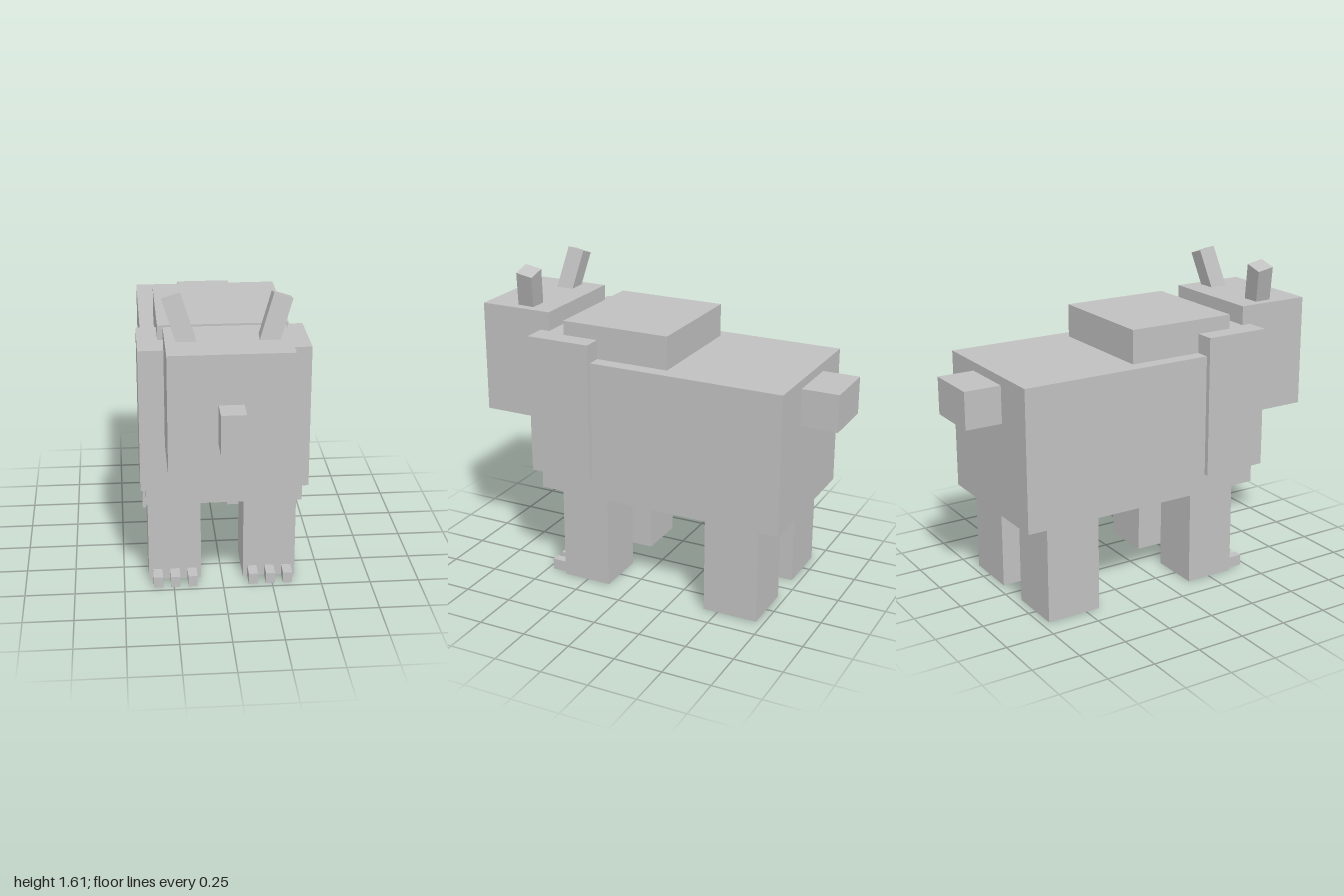
import * as THREE from 'three';

export function createModel() {
  const model = new THREE.Group();
  model.name = 'blockyBear';
  const fur = new THREE.MeshStandardMaterial({ color: 0xc0c0c0 });
  fur.name = 'greyFur';

  // Box given by its min and max on each axis
  function block(name, [x0, x1], [y0, y1], [z0, z1], parent = model) {
    const mesh = new THREE.Mesh(new THREE.BoxGeometry(x1 - x0, y1 - y0, z1 - z0), fur);
    mesh.position.set((x0 + x1) / 2, (y0 + y1) / 2, (z0 + z1) / 2);
    mesh.name = name;
    parent.add(mesh);
    return mesh;
  }
  const centred = (half) => [-half, half];

  // Trunk
  block('body', centred(0.385), [0.485, 1.205], [-0.81, 0.5]);
  block('shoulders', centred(0.41), [0.583, 1.303], [0.205, 0.543]);
  block('hump', centred(0.311), [1.15, 1.376], [-0.18, 0.395]);
  block('tail', centred(0.146), [0.97, 1.16], [-1, -0.8]);

  // Head
  block('head', centred(0.288), [0.825, 1.4], [0.493, 0.88]);
  block('snout', centred(0.058), [0.97, 1.16], [0.87, 1]);

  for (const [side, s] of [['left', 1], ['right', -1]]) {
    const span = (a, b) => (s > 0 ? [a, b] : [-b, -a]);

    // Ear, leaning outwards and back
    const ear = new THREE.Mesh(new THREE.BoxGeometry(0.091, 0.3, 0.09), fur);
    ear.name = side + 'Ear';
    ear.position.set(s * 0.208, 1.448, 0.648);
    ear.rotation.set(-0.175, 0, -s * 0.305);
    model.add(ear);

    // Legs
    block(side + 'HindLeg', span(0.097, 0.385), [0, 0.5], [-0.71, -0.425]);
    const foreleg = new THREE.Group();
    foreleg.name = side + 'Foreleg';
    model.add(foreleg);
    block(side + 'ForelegColumn', span(0.108, 0.374), [0, 0.5], [0.125, 0.385], foreleg);

    // Claws
    for (let i = 0; i < 3; i++) {
      const x = 0.154 + i * 0.0875;
      block(side + 'Claw' + (i + 1), span(x - 0.0235, x + 0.0235), [0, 0.058], [0.375, 0.472], foreleg);
    }
  }
  return model;
}
